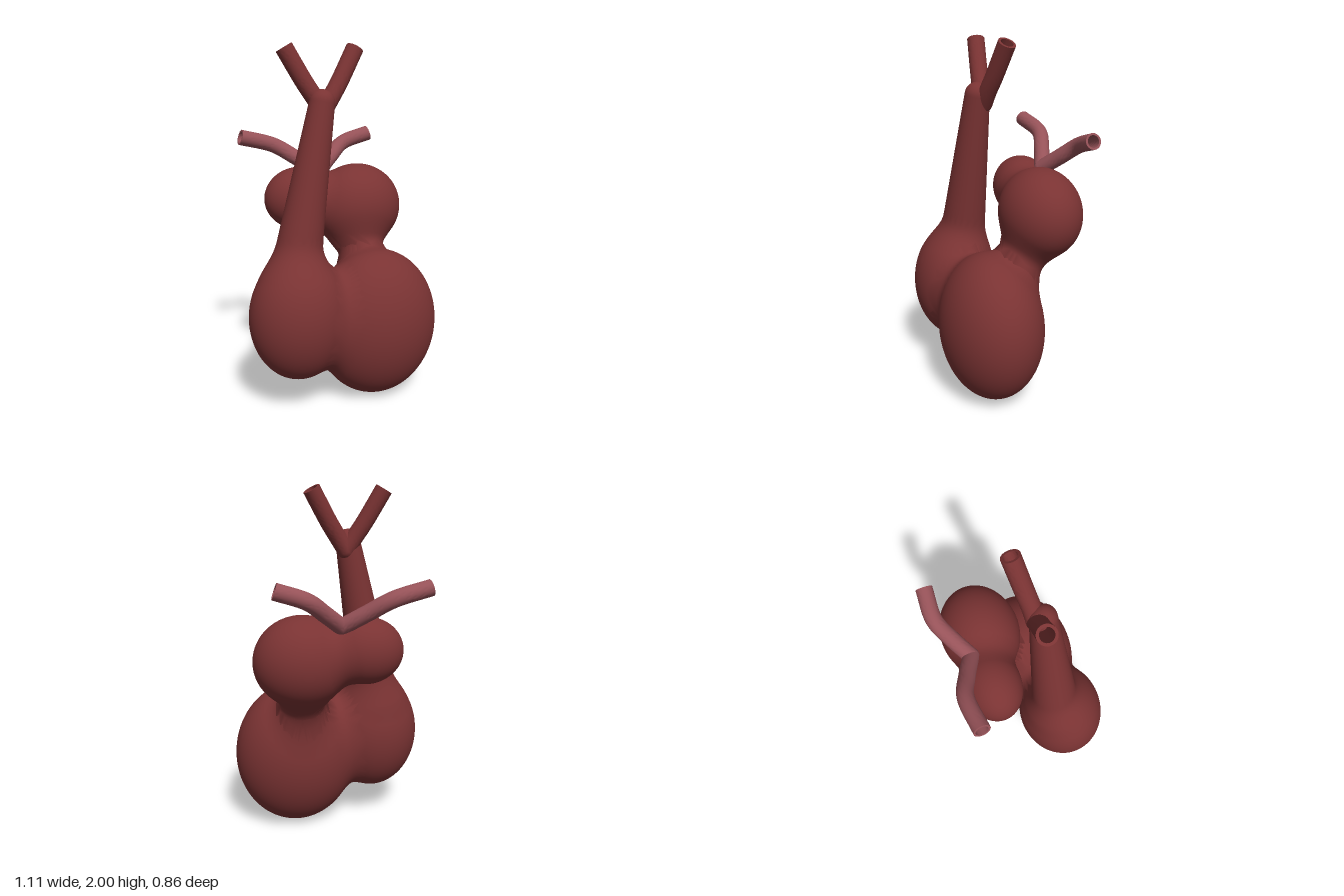
import * as THREE from 'three';
import { toCreasedNormals } from 'three/addons/utils/BufferGeometryUtils.js';

const V = (x, y, z) => new THREE.Vector3(x, y, z);
const muscle = new THREE.MeshStandardMaterial({ name: 'muscle red', color: 0x7a3333 });
const vein = new THREE.MeshStandardMaterial({ name: 'vein pink', color: 0x965258 });

// Distance functions for the organic forms
const tmp = new THREE.Vector3();
function ellipsoid(center, radii) {
  const sq = radii.clone().multiply(radii);
  const field = (p) => {
    const k0 = tmp.copy(p).sub(center).divide(radii).length();
    const k1 = tmp.copy(p).sub(center).divide(sq).length();
    return k1 < 1e-6 ? -radii.x : k0 * (k0 - 1) / k1;
  };
  return { center, field };
}

function taperedRod(a, b, ra, rb) {
  const ab = b.clone().sub(a);
  const field = (p) => {
    const t = THREE.MathUtils.clamp(tmp.copy(p).sub(a).dot(ab) / ab.lengthSq(), 0, 1);
    return tmp.copy(a).addScaledVector(ab, t).distanceTo(p) - THREE.MathUtils.lerp(ra, rb, t);
  };
  return { field };
}

const smoothMin = (a, b, k) => {
  const h = Math.max(k - Math.abs(a - b), 0) / k;
  return Math.min(a, b) - h * h * k / 4;
};
const blend = (forms, k) => (p) => forms.reduce((d, f) => smoothMin(d, f.field(p), k), 10);

// A sphere whose vertices are pushed outward until they leave the blended body
function chamber(name, center, field) {
  const geo = new THREE.SphereGeometry(1, 112, 80);
  const pos = geo.attributes.position, nor = geo.attributes.normal;
  const dir = new THREE.Vector3(), p = new THREE.Vector3(), q = new THREE.Vector3();
  const at = (t) => field(p.copy(center).addScaledVector(dir, t));
  const step = 0.012, reach = 0.52, e = 0.002;
  for (let i = 0; i < pos.count; i++) {
    dir.fromBufferAttribute(pos, i).normalize();
    let t = 0.1;
    while (t < reach && at(t) < 0) t += step;
    let lo = t - step, hi = t;
    for (let n = 0; n < 10; n++) {
      const mid = (lo + hi) / 2;
      if (at(mid) < 0) lo = mid; else hi = mid;
    }
    at(lo);
    pos.setXYZ(i, p.x, p.y, p.z);
    const slope = ['x', 'y', 'z'].map((axis) => {
      q.copy(p)[axis] += e;
      const ahead = field(q);
      q[axis] -= 2 * e;
      return ahead - field(q);
    });
    q.set(...slope).normalize();
    nor.setXYZ(i, q.x, q.y, q.z);
  }
  const mesh = new THREE.Mesh(geo, muscle);
  mesh.name = name;
  return mesh;
}

// Hollow vessel along a path, with a ball closing its inner end
function vessel(name, points, radius, bore, material) {
  const group = new THREE.Group();
  group.name = name;
  const ring = new THREE.Shape().absarc(0, 0, radius, 0, Math.PI * 2, false);
  ring.holes.push(new THREE.Path().absarc(0, 0, bore, 0, Math.PI * 2, true));
  const geo = new THREE.ExtrudeGeometry(ring, {
    steps: 32, curveSegments: 16, bevelEnabled: false,
    extrudePath: new THREE.CatmullRomCurve3(points),
  });
  const wall = new THREE.Mesh(toCreasedNormals(geo, 0.7), material);
  wall.name = name + 'Wall';
  const root = new THREE.Mesh(new THREE.SphereGeometry(radius, 32, 20), material);
  root.name = name + 'Root';
  root.position.copy(points[0]);
  group.add(wall, root);
  return group;
}

export function createModel() {
  const model = new THREE.Group();
  model.name = 'heart';

  const largeVentricle = ellipsoid(V(0.19, 0.43, 0.15), V(0.365, 0.43, 0.285));
  const smallVentricle = ellipsoid(V(-0.28, 0.53, 0.175), V(0.28, 0.355, 0.25));
  const largeAtrium = ellipsoid(V(0.195, 1.06, -0.15), V(0.27, 0.255, 0.225));
  const smallAtrium = ellipsoid(V(-0.145, 1.12, -0.21), V(0.21, 0.185, 0.163));
  const neck = taperedRod(V(0.18, 1.0, -0.14), V(0.18, 0.6, 0.04), 0.125, 0.125);
  const trunkBase = V(-0.29, 0.75, 0.13), trunkTop = V(-0.11, 1.69, 0.09);
  const trunkForm = taperedRod(trunkBase, trunkTop, 0.14, 0.07);

  // Chambers, blended into their neighbours
  const lower = blend([largeVentricle, smallVentricle, trunkForm, neck], 0.09);
  const upper = blend([largeAtrium, smallAtrium, neck, largeVentricle], 0.09);
  model.add(
    chamber('largeVentricle', largeVentricle.center, lower),
    chamber('smallVentricle', smallVentricle.center, lower),
    chamber('largeAtrium', largeAtrium.center, upper),
    chamber('smallAtrium', smallAtrium.center, upper),
  );

  // Tapered arterial trunk with a rounded top
  const axis = trunkTop.clone().sub(trunkBase);
  const profile = [new THREE.Vector2(0.14, 0)];
  for (let i = 0; i <= 10; i++) {
    const a = i / 10 * Math.PI / 2;
    profile.push(new THREE.Vector2(0.07 * Math.cos(a), axis.length() + 0.07 * Math.sin(a)));
  }
  const trunk = new THREE.Mesh(new THREE.LatheGeometry(profile, 48), muscle);
  trunk.name = 'arterialTrunk';
  trunk.position.copy(trunkBase);
  trunk.quaternion.setFromUnitVectors(V(0, 1, 0), axis.normalize());
  model.add(trunk);

  // Forked arteries and the pair of veins on the atria
  for (const [side, s] of [['left', 1], ['right', -1]]) {
    const fork = [[0, 1.64, 0.06], [0.045, 1.71, 0.055], [0.1, 1.795, 0.042], [0.203, 1.976, 0.015]];
    model.add(vessel(side + 'Artery', fork.map(([x, y, z]) => V(-0.093 + s * x, y, z)), 0.049, 0.035, muscle));

    const stretch = s > 0 ? 1 : 1.24;
    const path = [[0, 1.265, -0.265], [0.1, 1.345, -0.33], [0.2, 1.42, -0.38], [0.365, 1.475, -0.37]];
    model.add(vessel(side + 'Vein', path.map(([x, y, z]) => V(s * x * stretch, y, z)), 0.045, 0.034, vein));
  }
  return model;
}
